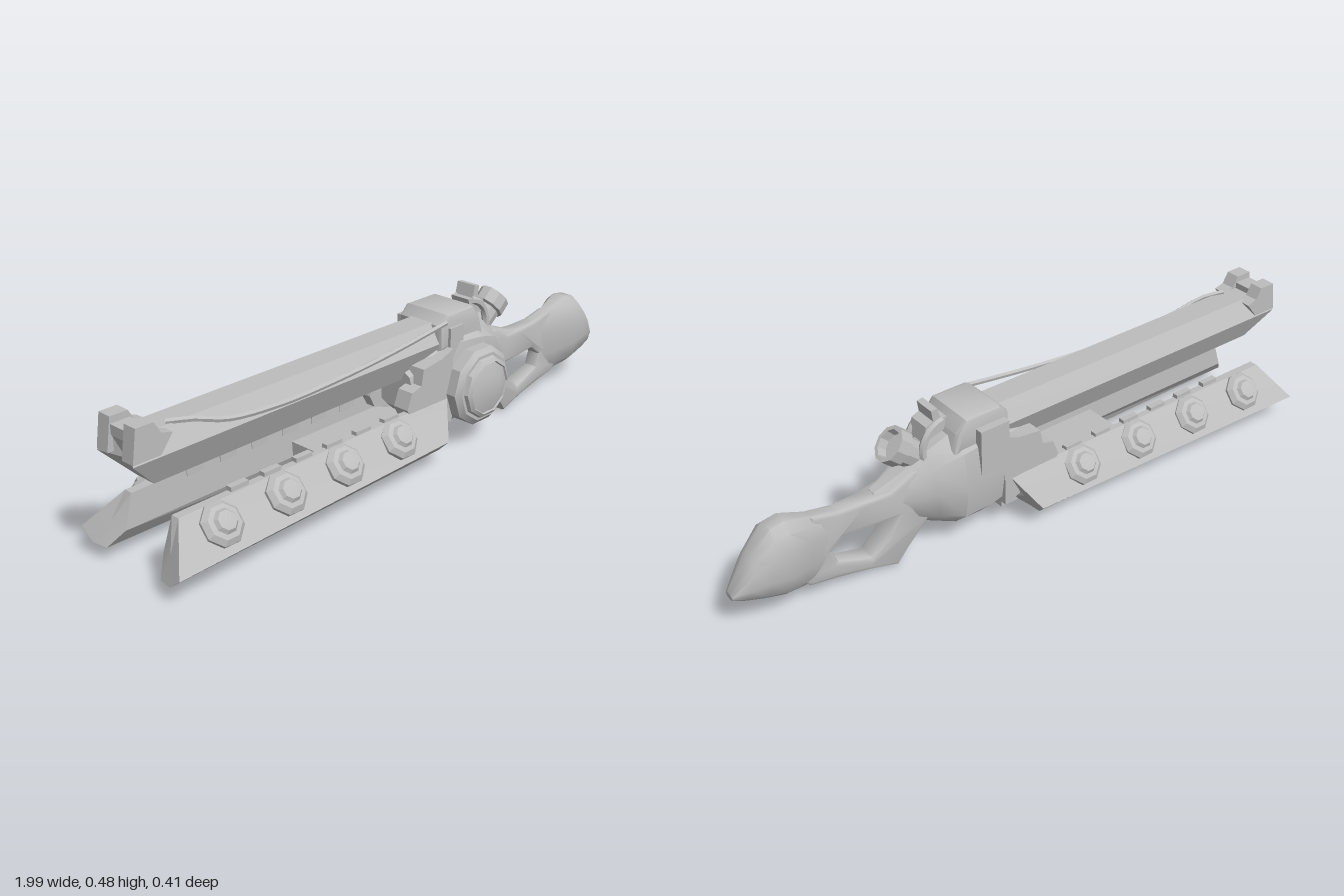
import * as THREE from 'three';
import { toCreasedNormals } from 'three/addons/utils/BufferGeometryUtils.js';

const steel = new THREE.MeshStandardMaterial({ color: 0xbdbdbd });
steel.name = 'steel grey';

export function createModel() {
  const model = new THREE.Group();
  model.name = 'rifle';

  const add = (name, geometry, crease = 0.5) => {
    const mesh = new THREE.Mesh(toCreasedNormals(geometry, crease), steel);
    mesh.name = name;
    model.add(mesh);
    return mesh;
  };

  // Skin a row of rings (each running y towards z), closed at both ends
  const loft = (rings) => {
    const n = rings[0].length, pos = [];
    const tri = (...p) => p.forEach((v) => pos.push(v.x, v.y, v.z));
    const mid = (r) => r.reduce((s, v) => s.add(v), new THREE.Vector3()).divideScalar(n);
    const first = rings[0], last = rings[rings.length - 1];
    for (let j = 0; j < n; j++) {
      const k = (j + 1) % n;
      for (let i = 0; i < rings.length - 1; i++) {
        const a = rings[i], b = rings[i + 1];
        tri(a[j], a[k], b[k]);
        tri(a[j], b[k], b[j]);
      }
      tri(mid(first), first[k], first[j]);
      tri(mid(last), last[j], last[k]);
    }
    const g = new THREE.BufferGeometry();
    g.setAttribute('position', new THREE.Float32BufferAttribute(pos, 3));
    return g;
  };

  // Rounded ring from a top point, a bottom point and a half width
  const ovalRing = (sides, square) => ([tx, ty, bx, by, w]) =>
    Array.from({ length: sides }, (_, j) => {
      const a = ((j + 0.5) / sides) * Math.PI * 2;
      const pow = (v) => Math.sign(v) * Math.abs(v) ** square / Math.cos(Math.PI / sides) ** square;
      const t = (1 - pow(Math.cos(a))) / 2;
      return new THREE.Vector3(tx + (bx - tx) * t, ty + (by - ty) * t, w * pow(Math.sin(a)));
    });

  // Long rail from corners [y, z, front x, rear x, rear z]
  const rail = (corners, side = 1) => {
    const list = side < 0 ? [...corners].reverse() : corners;
    return loft([
      list.map(([y, z, x]) => new THREE.Vector3(x, y, z * side)),
      list.map(([y, , , x, z]) => new THREE.Vector3(x, y + 0.004, z * side)),
    ]);
  };

  // Flat plate from an outline in x and y
  const plate = (outline, z0, z1, hole, bevel = 0) => {
    const v = (l) => l.map(([x, y]) => new THREE.Vector2(x, y));
    const shape = new THREE.Shape(v(outline));
    if (hole) shape.holes.push(new THREE.Path(v(hole)));
    return new THREE.ExtrudeGeometry(shape, {
      depth: z1 - z0 - 2 * bevel, bevelEnabled: bevel > 0, bevelSize: bevel,
      bevelThickness: bevel, bevelOffset: -bevel, bevelSegments: 2,
    }).translate(0, 0, z0 + bevel);
  };

  const box = (name, x0, x1, y0, y1, z0, z1) => add(name,
    new THREE.BoxGeometry(x1 - x0, y1 - y0, z1 - z0)
      .translate((x0 + x1) / 2, (y0 + y1) / 2, (z0 + z1) / 2));

  // Upper rail
  add('upperRail', rail([
    [0.41, -0.04, -0.98, 0.14, -0.04], [0.41, 0.04, -0.98, 0.14, 0.04],
    [0.35, 0.075, -0.995, 0.14, 0.075], [0.262, 0.035, -0.91, 0.14, 0.035],
    [0.262, -0.035, -0.91, 0.14, -0.035], [0.35, -0.075, -0.995, 0.14, -0.075],
  ]), 0.2);

  // Front sight: two wings and a floor
  const wing = [[-0.995, 0.355], [-0.91, 0.355], [-0.87, 0.405], [-0.905, 0.415], [-0.925, 0.45], [-0.98, 0.45]];
  add('frontSightLeft', plate(wing, 0.03, 0.075));
  add('frontSightRight', plate(wing, -0.075, -0.03));
  box('frontSightFloor', -0.98, -0.92, 0.4, 0.43, -0.035, 0.035);

  // Sling strip sagging along the left flank of the upper rail
  const sag = new THREE.CatmullRomCurve3([
    [-0.86, 0.415, 0.03], [-0.79, 0.408, 0.055], [-0.7, 0.382, 0.072], [-0.52, 0.367, 0.078],
    [-0.3, 0.373, 0.08], [-0.08, 0.392, 0.083], [0.14, 0.42, 0.085],
  ].map((p) => new THREE.Vector3(...p)));
  add('slingStrip', new THREE.TubeGeometry(sag, 28, 0.008, 5));

  for (const side of [1, -1]) {
    // Lower rails
    add('lowerRail', rail([
      [0.188, 0.085, -0.9, 0.13, 0.085], [0.188, 0.112, -0.9, 0.13, 0.1],
      [0.078, 0.207, -0.98, 0.06, 0.172], [0.045, 0.165, -0.98, 0.05, 0.14],
      [0.042, 0.115, -0.97, 0.05, 0.1], [0.09, 0.08, -0.93, 0.1, 0.08],
    ], side), 0.2);

    // Octagonal domed knobs on the sloping faces
    for (const x of [-0.795, -0.57, -0.345, -0.12]) {
      const profile = [[0.064, -0.012], [0.064, 0.012], [0.05, 0.026], [0.036, 0.029], [0.028, 0.04], [0, 0.044]];
      const knob = add('knob', new THREE.LatheGeometry(
        profile.map(([r, y]) => new THREE.Vector2(r, y)), 8, Math.PI / 8), 0.4);
      knob.position.set(x, 0.14, side * (0.15 - 0.024 * (x + 0.97)));
      knob.rotation.x = side * 0.858;
    }

    // Small teeth along the inner edges
    for (let i = 0; i < 6; i++) {
      const x = -0.72 + i * 0.115;
      box('lowerTooth', x, x + 0.06, 0.17, 0.202, side * 0.092 - 0.01, side * 0.092 + 0.01);
    }

    // Jaws that join the lower rails to the receiver
    add('jaw', plate([[-0.03, 0.16], [0.15, 0.1], [0.15, 0.34], [0.1, 0.32], [0.02, 0.31],
      [0.01, 0.26], [-0.03, 0.25], [-0.05, 0.2]], side < 0 ? -0.105 : 0.05, side < 0 ? -0.05 : 0.105));
  }

  // Segmented rod under the upper rail
  for (let i = 0; i < 8; i++) {
    add('rodSegment', new THREE.CylinderGeometry(0.016, 0.016, 0.06, 8).rotateZ(Math.PI / 2)
      .translate(-0.72 + i * 0.1, 0.264, 0));
  }

  // Foregrip
  add('foregrip', plate([[-0.34, 0.06], [-0.31, 0], [-0.05, 0], [-0.02, 0.07], [-0.02, 0.12], [-0.34, 0.12]],
    -0.05, 0.05, null, 0.006), 0.3);
  box('lowerSpine', -0.34, 0.15, 0.08, 0.14, -0.085, 0.085);

  // Receiver body
  add('receiver', loft([
    [0.0, 0.3, 0.0, 0.17, 0.075], [0.12, 0.36, 0.1, 0.08, 0.095], [0.2, 0.4, 0.2, 0.065, 0.11],
    [0.29, 0.39, 0.29, 0.07, 0.115], [0.38, 0.35, 0.36, 0.1, 0.085],
    [0.45, 0.305, 0.43, 0.13, 0.05], [0.54, 0.27, 0.5, 0.18, 0.03],
  ].map(ovalRing(10, 0.8))), 0.6);

  // Drum on the left of the receiver
  const drum = [[0.127, -0.06], [0.127, 0.038], [0.11, 0.052], [0.1, 0.052], [0.096, 0.064],
    [0.085, 0.071], [0.082, 0.066], [0.045, 0.076], [0, 0.078]];
  const drumMesh = add('drum', new THREE.LatheGeometry(
    drum.map(([r, y]) => new THREE.Vector2(r, y)), 10, Math.PI / 10), 0.45);
  drumMesh.position.set(0.25, 0.2, 0.1);
  drumMesh.rotation.x = Math.PI / 2;

  // Top cover and straps over the receiver
  add('topCover', plate([[0.12, 0.33], [0.32, 0.33], [0.3, 0.4], [0.27, 0.44], [0.15, 0.44], [0.12, 0.41]],
    -0.09, 0.085, null, 0.015), 0.4);
  box('coverStrapLeft', 0.15, 0.21, 0.26, 0.4, 0.07, 0.095);
  box('coverStrapRight', 0.14, 0.24, 0.25, 0.4, -0.115, -0.07);

  // Hammer with curved arms
  for (const z of [-0.035, 0.035]) {
    const arm = add('hammerArm', new THREE.TorusGeometry(0.085, 0.012, 6, 10, 1.9));
    arm.position.set(0.3, 0.35, z);
    arm.rotation.z = -0.5;
  }
  add('hammer', plate([[0.31, 0.4], [0.38, 0.38], [0.37, 0.43], [0.345, 0.44], [0.35, 0.475],
    [0.33, 0.478], [0.32, 0.44], [0.3, 0.44]], -0.035, 0.035));

  // Tilted open tube behind the hammer
  const tube = [[0, -0.09], [0.04, -0.09], [0.045, 0.02], [0.056, 0.025], [0.056, 0.07], [0.044, 0.07], [0.04, 0.04], [0, 0.04]];
  const port = add('rearTube', new THREE.LatheGeometry(
    tube.map(([r, y]) => new THREE.Vector2(r, y)), 10), 0.6);
  port.position.set(0.42, 0.355, 0);
  port.rotation.z = -0.84;
  port.scale.z = 0.85;

  // Stock frame with thumb hole, thinned towards the rear
  const frame = plate([[0.34, 0.31], [0.43, 0.31], [0.5, 0.268], [0.58, 0.265], [0.66, 0.268], [0.74, 0.285],
    [0.8, 0.09], [0.76, 0.06], [0.68, 0.045], [0.58, 0.025], [0.49, 0.006], [0.45, 0.06], [0.385, 0.13], [0.34, 0.13]],
  -0.05, 0.05, [[0.48, 0.178], [0.51, 0.12], [0.57, 0.066], [0.675, 0.102], [0.69, 0.145], [0.65, 0.177]], 0.012);
  const p = frame.attributes.position;
  for (let i = 0; i < p.count; i++) {
    const t = THREE.MathUtils.smoothstep(p.getX(i), 0.38, 0.66);
    p.setZ(i, p.getZ(i) * (1.05 - 0.55 * t));
  }
  add('stockFrame', frame, 0.7);

  // Butt of the stock
  add('butt', loft([
    [0.66, 0.268, 0.72, 0.065, 0.022], [0.74, 0.288, 0.78, 0.065, 0.038], [0.82, 0.316, 0.845, 0.075, 0.064],
    [0.865, 0.308, 0.91, 0.095, 0.062], [0.925, 0.245, 0.965, 0.112, 0.045], [0.995, 0.148, 0.995, 0.125, 0.018],
  ].map(ovalRing(12, 0.8))), 0.8);

  return model;
}
